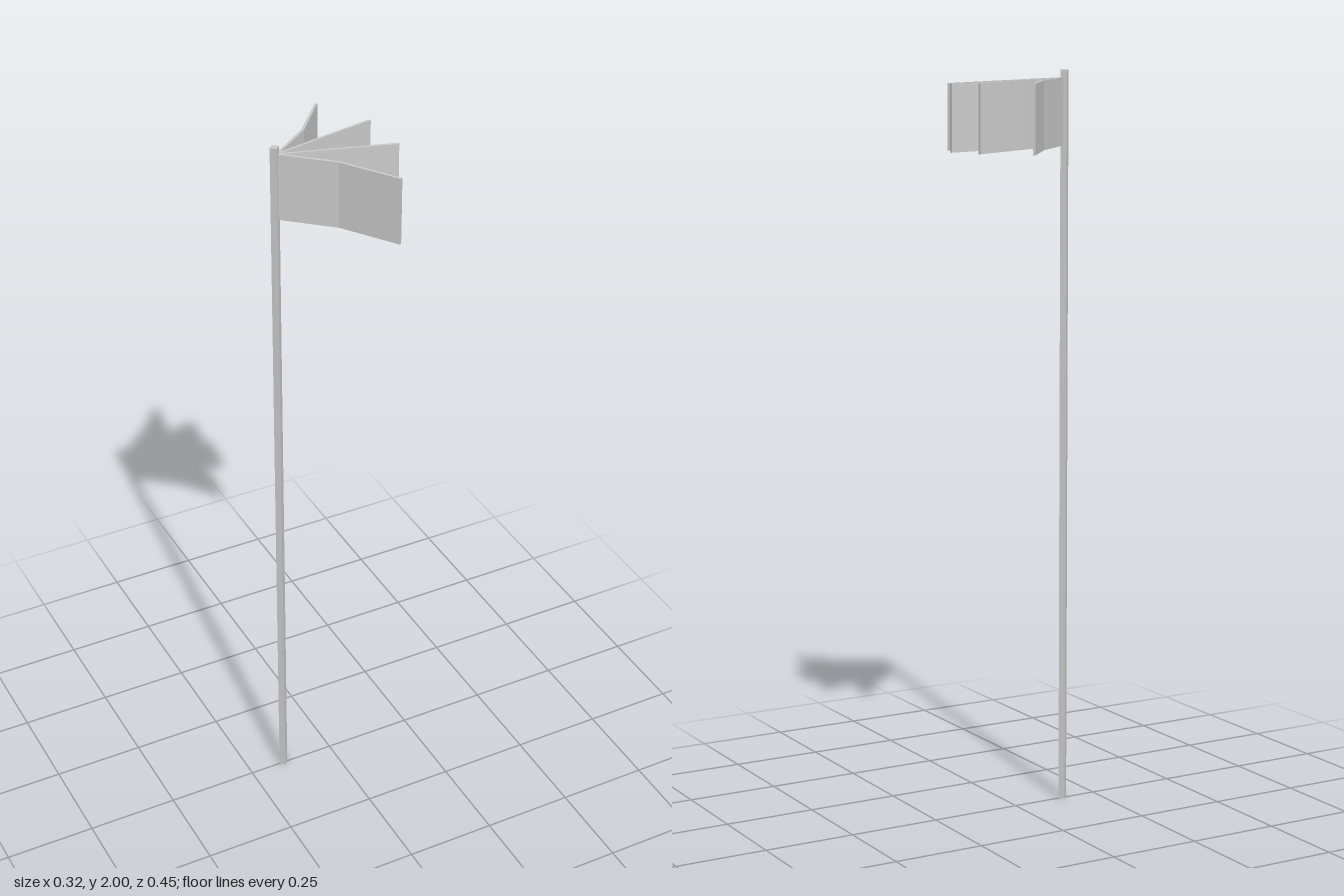
import * as THREE from 'three';

const POLE_X = -0.15;
const FLAG_HEIGHT = 0.18;
const FLAG_THICKNESS = 0.007;
const DROOP = 0.016;

// Bends a thin box along three [x, z] points, with the free end sagging slightly
function flagGeometry(path) {
  const geometry = new THREE.BoxGeometry(2, FLAG_HEIGHT, FLAG_THICKNESS, 2, 1, 1);
  const pos = geometry.attributes.position;
  for (let i = 0; i < pos.count; i++) {
    const k = Math.round(pos.getX(i)) + 1;
    const [x, z] = path[k];
    const a = path[Math.max(k - 1, 0)];
    const b = path[Math.min(k + 1, 2)];
    const dir = new THREE.Vector2(b[0] - a[0], b[1] - a[1]).normalize();
    const offset = pos.getZ(i);
    pos.setXYZ(i, x - dir.y * offset, 1.89 + pos.getY(i) - DROOP * k / 2, z + dir.x * offset);
  }
  geometry.computeVertexNormals();
  return geometry;
}

export function createModel() {
  const model = new THREE.Group();
  const material = new THREE.MeshStandardMaterial({ color: 0xcccccc, flatShading: true });

  // Slim four-sided pole, its corners on the axes
  const pole = new THREE.Mesh(new THREE.CylinderGeometry(0.0125, 0.0125, 2, 4), material);
  pole.name = 'pole';
  pole.position.set(POLE_X, 1, 0);
  model.add(pole);

  // Four flags fanned around the pole: bent outer pair, straight inner pair
  const root = [POLE_X + 0.006, 0];
  const flags = {
    backOuterFlag: [[-0.025, -0.097], [0.077, -0.225]],
    backInnerFlag: [[0.006, -0.043], [0.156, -0.083]],
    frontInnerFlag: [[0.009, 0.03], [0.161, 0.06]],
    frontOuterFlag: [[-0.02, 0.093], [0.081, 0.222]],
  };
  for (const [name, points] of Object.entries(flags)) {
    const flag = new THREE.Mesh(flagGeometry([root, ...points]), material);
    flag.name = name;
    model.add(flag);
  }
  return model;
}
